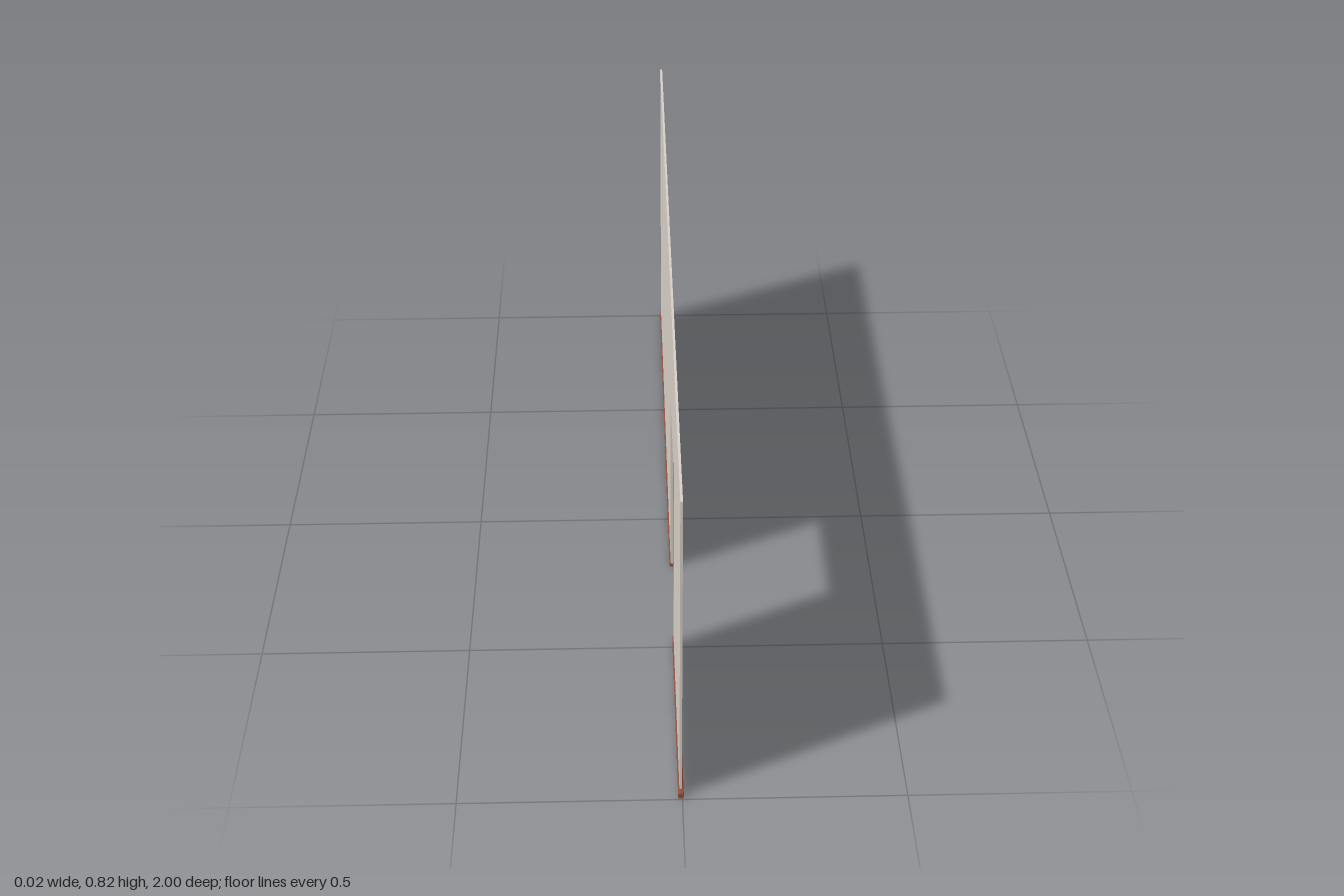
import * as THREE from 'three';

// Extrude a (z, y) outline along x, from x0 to x1
function extrudeAlongX(points, x0, x1, material, name) {
  const shape = new THREE.Shape(points.map(([z, y]) => new THREE.Vector2(-z, y)));
  const geometry = new THREE.ExtrudeGeometry(shape, { depth: x1 - x0, bevelEnabled: false });
  geometry.rotateY(Math.PI / 2);
  geometry.translate(x0, 0, 0);
  const mesh = new THREE.Mesh(geometry, material);
  mesh.name = name;
  return mesh;
}

// Skirting strip with chamfered edges, running along z
function skirting(x0, x1, y0, y1, z0, z1, material, name) {
  const c = 0.003;
  const shape = new THREE.Shape([
    [x0 + c, y0], [x1 - c, y0], [x1, y0 + c], [x1, y1 - c],
    [x1 - c, y1], [x0 + c, y1], [x0, y1 - c], [x0, y0 + c],
  ].map(([x, y]) => new THREE.Vector2(x, y)));
  const geometry = new THREE.ExtrudeGeometry(shape, { depth: z1 - z0, bevelEnabled: false });
  geometry.translate(0, 0, z0);
  const mesh = new THREE.Mesh(geometry, material);
  mesh.name = name;
  return mesh;
}

export function createModel() {
  const group = new THREE.Group();
  group.name = 'wallWithDoorway';
  const plaster = new THREE.MeshStandardMaterial({ color: 0xd6cec6 });
  const wood = new THREE.MeshStandardMaterial({ color: 0x8f4f3a });

  // Thin wall with a doorway open at the floor
  const bottom = 0.01, top = 0.82, lintel = 0.515;
  group.add(extrudeAlongX([
    [0.985, bottom], [0.485, bottom], [0.485, lintel], [0.195, lintel],
    [0.195, bottom], [-1, bottom], [-1, top], [0.985, top],
  ], -0.0065, -0.001, plaster, 'wall'));

  // Skirting strips on either side of the doorway
  group.add(skirting(-0.0095, 0.003, 0.003, 0.018, 0.478, 1, wood, 'frontSkirting'));
  group.add(skirting(-0.0095, 0.0095, 0, 0.016, -0.99, 0.195, wood, 'backSkirting'));
  return group;
}
